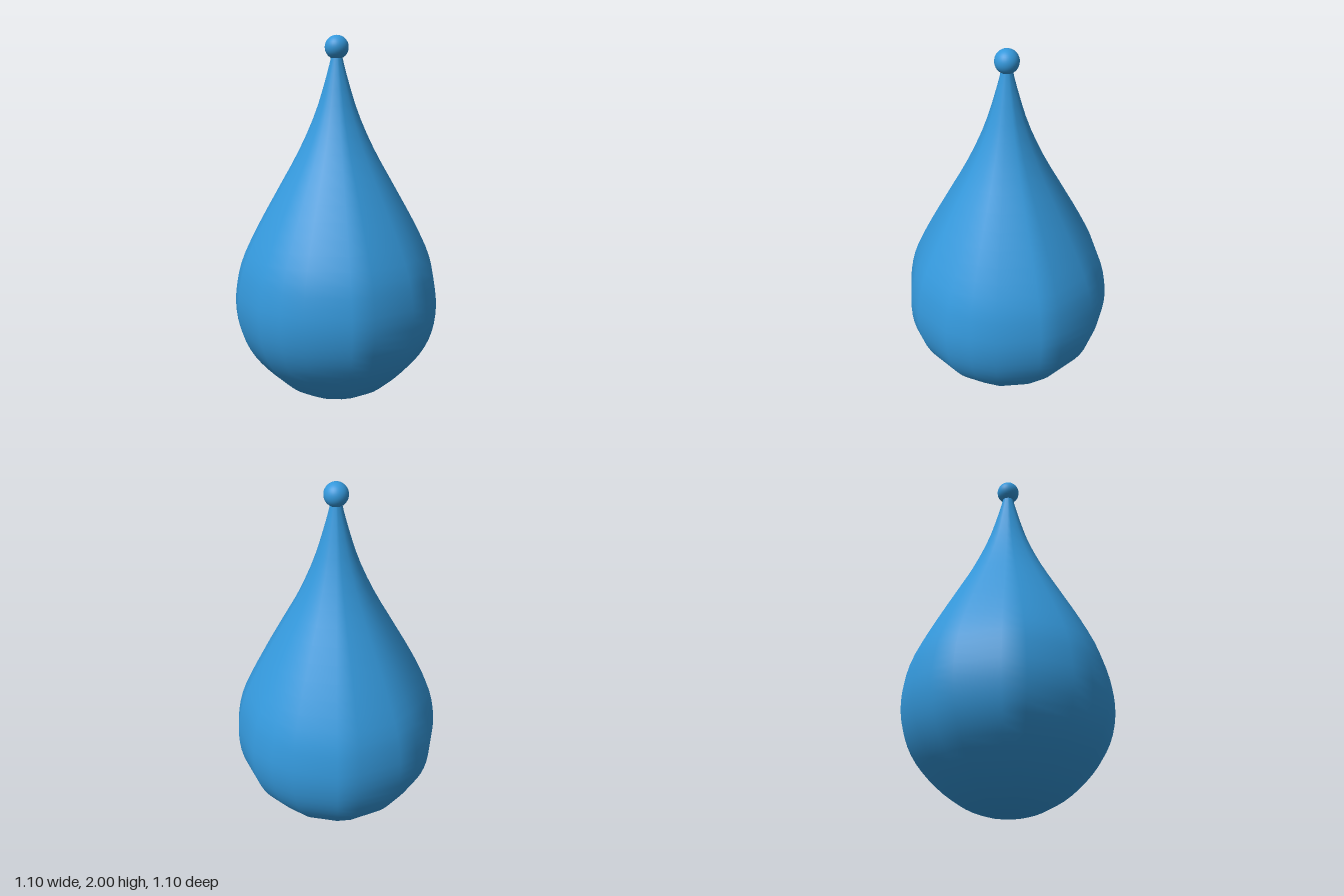
import * as THREE from 'three';
import { mergeVertices } from 'three/addons/utils/BufferGeometryUtils.js';

// Half-profile of the drop, bottom to top: [radius, height]
const PROFILE = [
  [0, 0.003], [0.1, 0.014], [0.2, 0.048], [0.3, 0.107], [0.4, 0.2], [0.48, 0.305], [0.53, 0.42],
  [0.55, 0.55], [0.54, 0.68], [0.505, 0.82], [0.42, 1.0], [0.31, 1.2], [0.2, 1.4],
  [0.112, 1.6], [0.051, 1.8], [0.027, 1.9], [0.02, 1.94],
];
// Uneven facet corners within each quarter turn, in degrees
const CORNERS = [0, 14.5, 39, 51, 75.5];

function dropGeometry() {
  const curve = new THREE.SplineCurve(PROFILE.map(([r, y]) => new THREE.Vector2(r, y)));
  const points = curve.getPoints(40);
  points.forEach((p) => { p.x = Math.max(p.x, 0); });
  const sides = CORNERS.length * 4;
  let geo = new THREE.LatheGeometry(points, sides);
  const pos = geo.attributes.position;

  // Shift the even lathe columns to the uneven corner angles
  for (let i = 0; i < pos.count; i++) {
    const column = Math.floor(i / points.length) % sides;
    const point = points[i % points.length];
    const corner = CORNERS[column % CORNERS.length];
    const angle = THREE.MathUtils.degToRad(corner + 90 * Math.floor(column / CORNERS.length));
    const r = point.x * (corner === 0 ? 1 : 1.017);
    pos.setXYZ(i, r * Math.sin(angle), point.y, r * Math.cos(angle));
  }

  // Weld the seam and smooth the surface
  geo.deleteAttribute('uv');
  geo.deleteAttribute('normal');
  geo = mergeVertices(geo, 1e-5);
  geo.computeVertexNormals();
  return geo;
}

export function createModel() {
  const group = new THREE.Group();
  group.name = 'dropOrnament';
  const blue = new THREE.MeshStandardMaterial({ color: 0x3498db });
  blue.name = 'blue';

  // Teardrop body
  const body = new THREE.Mesh(dropGeometry(), blue);
  body.name = 'dropBody';
  group.add(body);

  // Ball on the tip
  const ball = new THREE.Mesh(new THREE.SphereGeometry(0.063, 32, 20), blue);
  ball.name = 'tipBall';
  ball.position.y = 1.937;
  group.add(ball);

  return group;
}
